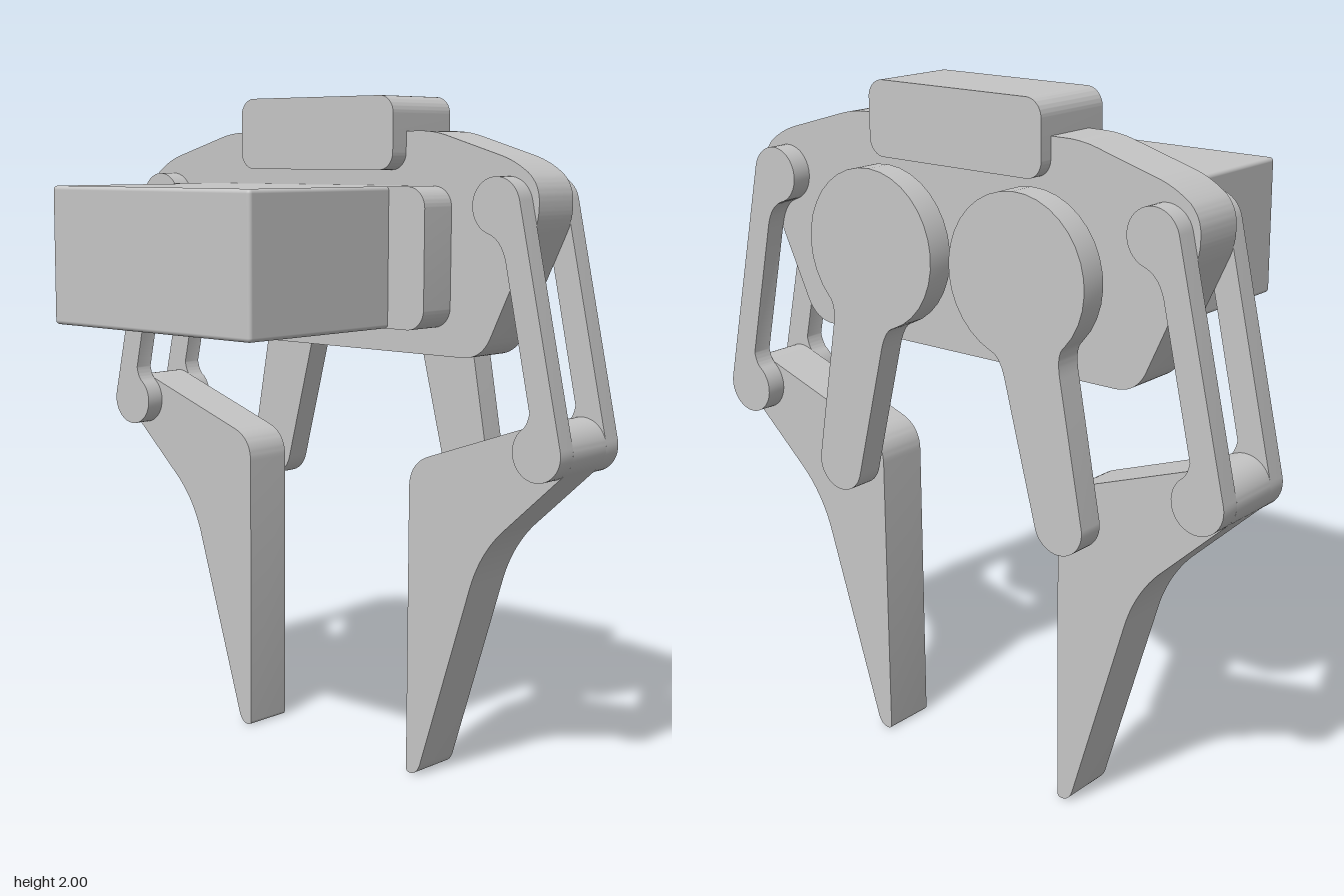
import * as THREE from 'three';
import { toCreasedNormals } from 'three/addons/utils/BufferGeometryUtils.js';
import { RoundedBoxGeometry } from 'three/addons/geometries/RoundedBoxGeometry.js';

const grey = new THREE.MeshStandardMaterial({ color: 0xc5c5c5 });
grey.name = 'light grey';

// Closed outline from [x, y, cornerRadius] points
function roundedOutline(points) {
  const shape = new THREE.Shape();
  const n = points.length;
  points.forEach(([x, y, r], i) => {
    const p = new THREE.Vector2(x, y);
    const toward = ([qx, qy]) => {
      const d = new THREE.Vector2(qx - x, qy - y);
      return p.clone().addScaledVector(d.normalize(), r);
    };
    const a = toward(points[(i + n - 1) % n]);
    const b = toward(points[(i + 1) % n]);
    if (i === 0) shape.moveTo(a.x, a.y);
    else shape.lineTo(a.x, a.y);
    shape.quadraticCurveTo(x, y, b.x, b.y);
  });
  shape.closePath();
  return shape;
}

function roundedRect(x0, x1, y0, y1, r) {
  const s = new THREE.Shape();
  s.moveTo(x0 + r, y0);
  s.absarc(x1 - r, y0 + r, r, -Math.PI / 2, 0);
  s.absarc(x1 - r, y1 - r, r, 0, Math.PI / 2);
  s.absarc(x0 + r, y1 - r, r, Math.PI / 2, Math.PI);
  s.absarc(x0 + r, y0 + r, r, Math.PI, Math.PI * 1.5);
  return s;
}

// Flat plate between two depths, optionally mirrored in x
function plate(name, shape, z0, z1, side = 1) {
  let s = shape;
  if (side < 0) {
    s = new THREE.Shape(shape.getPoints(14).map((p) => new THREE.Vector2(-p.x, p.y)));
  }
  const geo = new THREE.ExtrudeGeometry(s, { depth: z1 - z0, bevelEnabled: false, curveSegments: 14 });
  geo.translate(0, 0, z0);
  const mesh = new THREE.Mesh(toCreasedNormals(geo, 0.6), grey);
  mesh.name = name;
  return mesh;
}

// Palm half outline, mirrored to a full outline
function palmShape() {
  const half = [
    [0.4, 1.9, 0.05], [0.69, 1.815, 0.06], [0.765, 1.755, 0.05],
    [0.765, 1.655, 0.04], [0.58, 1.265, 0.07],
  ];
  const mirrored = half.map(([x, y, r]) => [-x, y, r]).reverse();
  return roundedOutline([...half, ...mirrored]);
}

// Link bar: round eyes joined by a bar flush with the outer side
function linkShape() {
  const s = new THREE.Shape();
  s.absarc(0.665, 1.695, 0.08, 0.222, 4.45);
  s.quadraticCurveTo(0.69, 1.6, 0.703, 1.535);
  s.lineTo(0.79, 1.14);
  s.quadraticCurveTo(0.785, 1.11, 0.769, 1.095);
  s.absarc(0.815, 1.03, 0.08, 2.18, 0.222 + Math.PI * 2);
  s.closePath();
  return s;
}

// Drive arm: large disc with a tapered lever
function driveArmShape() {
  const radius = 0.227;
  const c = new THREE.Vector2(0.259, 1.54);
  const e = new THREE.Vector2(0.402, 0.882);
  const dir = Math.atan2(e.y - c.y, e.x - c.x);
  const at = (along, across) => new THREE.Vector2(along, across).rotateAround(new THREE.Vector2(), dir).add(c);
  const s = new THREE.Shape();
  s.absarc(c.x, c.y, radius, dir + 0.58, dir - 0.58 + Math.PI * 2);
  const c1 = at(0.205, -0.095), p1 = at(0.28, -0.094);
  s.quadraticCurveTo(c1.x, c1.y, p1.x, p1.y);
  s.absarc(e.x, e.y, 0.08, dir - Math.PI / 2, dir + Math.PI / 2);
  const p2 = at(0.28, 0.094), c2 = at(0.205, 0.095);
  const end = at(radius * Math.cos(0.58), radius * Math.sin(0.58));
  s.lineTo(p2.x, p2.y);
  s.quadraticCurveTo(c2.x, c2.y, end.x, end.y);
  return s;
}

// Finger: pivot eye, sloping shoulder and long tapering tip
function fingerShape() {
  const s = new THREE.Shape();
  s.moveTo(0.325, 0.015);
  s.quadraticCurveTo(0.325, 0, 0.34, 0);
  s.quadraticCurveTo(0.367, 0, 0.378, 0.035);
  s.lineTo(0.555, 0.61);
  s.quadraticCurveTo(0.588, 0.71, 0.66, 0.78);
  s.absarc(0.815, 1.03, 0.08, -0.85, 1.9);
  s.lineTo(0.4, 0.97);
  s.quadraticCurveTo(0.325, 0.945, 0.325, 0.87);
  s.closePath();
  return s;
}

export function createModel() {
  const model = new THREE.Group();
  model.name = 'gripper';

  // Palm and mounting block
  model.add(plate('palm', palmShape(), -0.37, -0.21));
  model.add(plate('mountBlock', roundedRect(-0.3, 0.3, 1.79, 2, 0.05), -0.41, -0.15));

  // Servo motor
  const servo = new THREE.Group();
  servo.name = 'servo';
  const body = new THREE.Mesh(new RoundedBoxGeometry(0.795, 0.4, 0.7, 3, 0.012), grey);
  body.name = 'servoBody';
  body.position.set(-0.06, 1.545, 0.12);
  servo.add(body, plate('servoFlange', roundedRect(-0.588, 0.467, 1.345, 1.745, 0.06), -0.21, -0.09));
  model.add(servo);

  // Jaw linkage on each side
  for (const side of [1, -1]) {
    const jaw = new THREE.Group();
    jaw.name = side > 0 ? 'leftJaw' : 'rightJaw';
    jaw.add(
      plate('finger', fingerShape(), -0.37, -0.21, side),
      plate('frontLink', linkShape(), -0.21, -0.15, side),
      plate('rearLink', linkShape(), -0.43, -0.37, side),
      plate('driveArm', driveArmShape(), -0.47, -0.39, side),
    );
    model.add(jaw);
  }
  return model;
}
